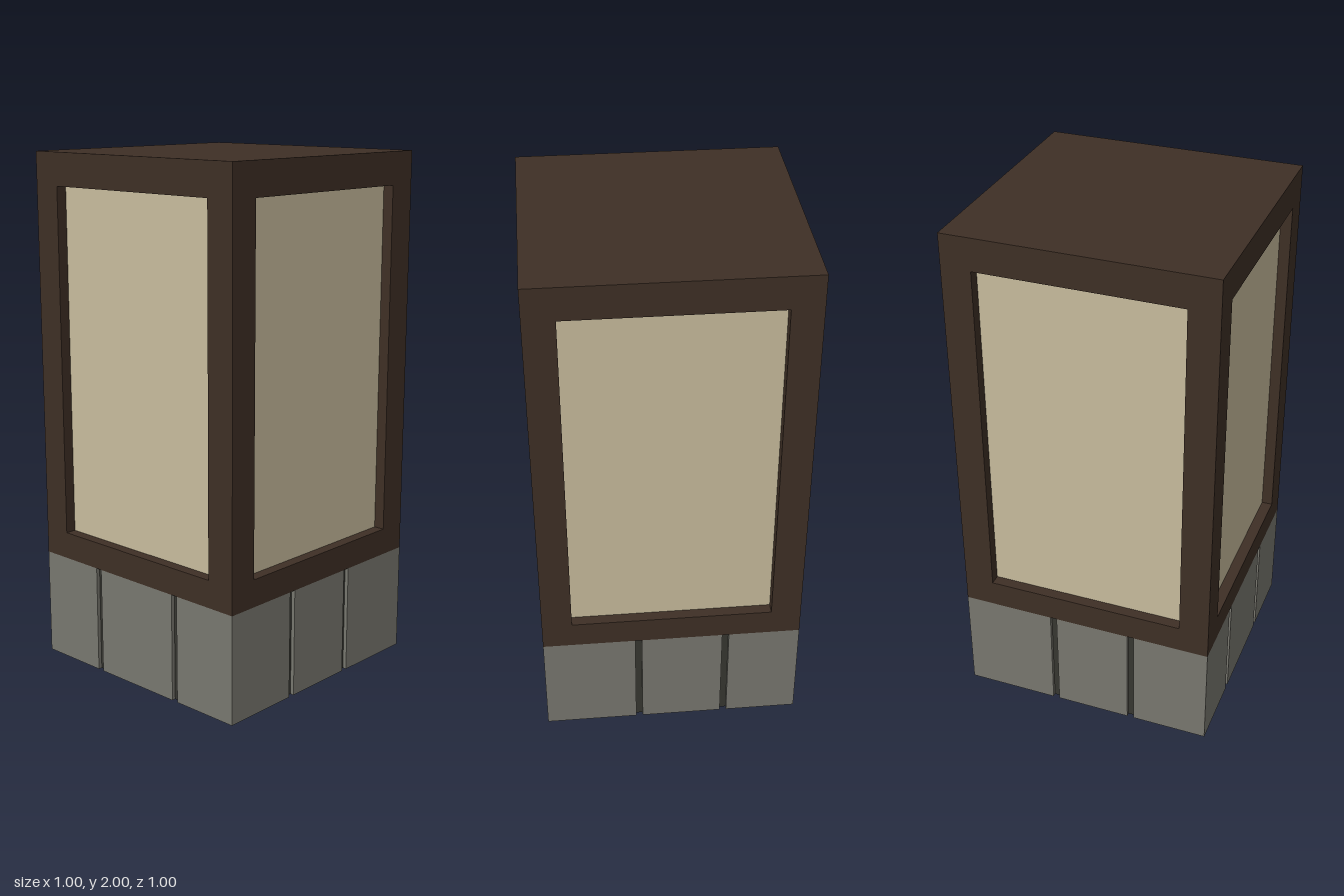
import * as THREE from 'three';

const mat = (name, color) => {
  const m = new THREE.MeshStandardMaterial({ color });
  m.name = name;
  return m;
};

export function createModel() {
  const wood = mat('dark wood', 0x3e2f25);
  const paper = mat('warm paper', 0xc8bc9d);
  const stone = mat('grey stone', 0x78776f);
  const mortar = mat('dark mortar', 0x373731);

  const model = new THREE.Group();
  model.name = 'lantern';

  const box = (parent, name, material, [w, h, d], [x, y, z]) => {
    const mesh = new THREE.Mesh(new THREE.BoxGeometry(w, h, d), material);
    mesh.name = name;
    mesh.position.set(x, y, z);
    parent.add(mesh);
    return mesh;
  };

  const baseTop = 0.42, sill = 0.525, head = 1.875;
  const post = 0.115, open = 1 - 2 * post;    // post width and opening width
  const mid = 0.5 - post / 2;                 // centre line of posts and rails
  const slab = 0.015, joint = 0.026;          // stone thickness and gap

  // Roof closing the frame
  box(model, 'roof', wood, [1, 2 - head, 1], [0, (2 + head) / 2, 0]);

  // Four corner posts
  for (const sx of [-1, 1]) {
    for (const sz of [-1, 1]) {
      box(model, 'cornerPost', wood, [post, head - baseTop, post],
        [sx * mid, (head + baseTop) / 2, sz * mid]);
    }
  }

  // Joint positions along each side, in the side's own left-to-right direction
  const sides = [
    { name: 'front', angle: 0, joints: [-0.17, 0.15] },
    { name: 'left', angle: Math.PI / 2, joints: [-0.13, 0.21] },
    { name: 'back', angle: Math.PI, joints: [-0.13, 0.19] },
    { name: 'right', angle: -Math.PI / 2, joints: [-0.2, 0.21] },
  ];
  sides.forEach(({ name, angle, joints }, i) => {
    const side = new THREE.Group();
    side.name = name + 'Side';
    side.rotation.y = angle;
    model.add(side);

    // Bottom rail and recessed paper panel
    box(side, 'bottomRail', wood, [open, sill - baseTop, post], [0, (sill + baseTop) / 2, mid]);
    box(side, 'paperPanel', paper, [open, head - sill, 0.03], [0, (head + sill) / 2, mid]);

    // Three stone slabs; alternate sides stop short so corners butt together
    const end = i % 2 ? 0.5 - slab : 0.5;
    const from = [-end, ...joints.map((j) => j + joint / 2)];
    const to = [...joints.map((j) => j - joint / 2), end];
    from.forEach((a, k) => {
      box(side, 'baseStone', stone, [to[k] - a, baseTop, slab],
        [(a + to[k]) / 2, baseTop / 2, 0.5 - slab / 2]);
    });
  });

  // Hollow mortar core behind the stones, open at the bottom
  const square = (path, r) => path.moveTo(-r, -r).lineTo(r, -r).lineTo(r, r).lineTo(-r, r).closePath();
  const ring = square(new THREE.Shape(), 0.5 - slab);
  ring.holes.push(square(new THREE.Path(), 0.478));
  const core = new THREE.Mesh(
    new THREE.ExtrudeGeometry(ring, { depth: baseTop, bevelEnabled: false }).rotateX(-Math.PI / 2),
    mortar);
  core.name = 'mortarCore';
  model.add(core);

  return model;
}
